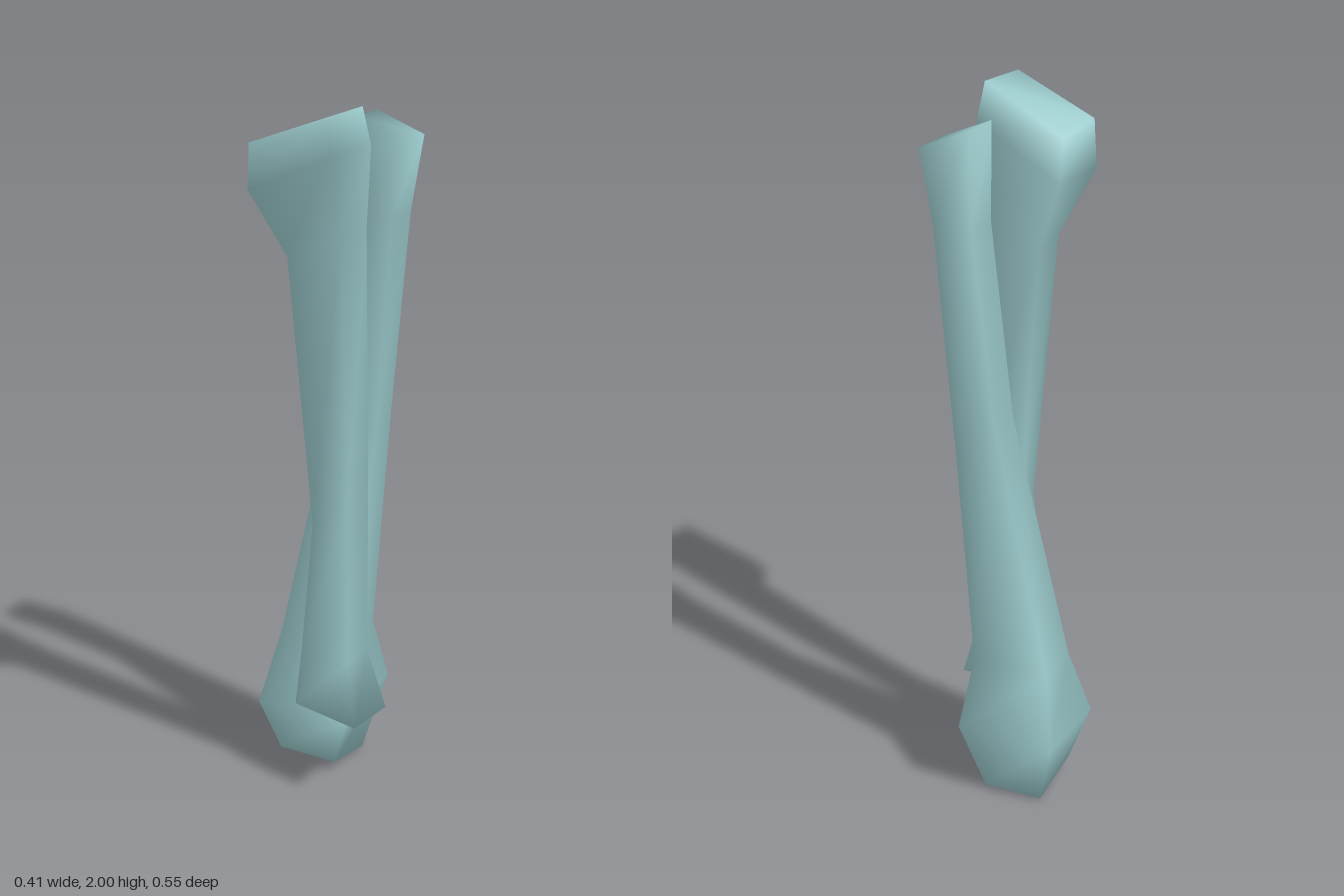
import * as THREE from 'three';

const material = new THREE.MeshStandardMaterial({ color: 0x9fcfd1 });

// Smooth four-sided loft through sections listed from top to bottom.
// Section corners: left-back, right-back, right-front, left-front as seen from the front.
function loft(name, sections) {
  const index = [];
  for (let s = 0; s < sections.length - 1; s++) {
    for (let i = 0; i < 4; i++) {
      const a = s * 4 + i, b = s * 4 + (i + 1) % 4;
      index.push(a, b, b + 4, a, b + 4, a + 4);
    }
  }
  const e = (sections.length - 1) * 4;
  index.push(3, 2, 1, 3, 1, 0); // top cap
  index.push(e, e + 1, e + 2, e, e + 2, e + 3); // bottom cap
  const geometry = new THREE.BufferGeometry();
  geometry.setAttribute('position', new THREE.Float32BufferAttribute(sections.flat(2), 3));
  geometry.setIndex(index);
  geometry.computeVertexNormals();
  const mesh = new THREE.Mesh(geometry, material);
  mesh.name = name;
  return mesh;
}

export function createModel() {
  const group = new THREE.Group();
  group.name = 'forearmBones';

  // Front bone: broad slanted head, slim shaft, small flared foot
  group.add(loft('frontBone', [
    [[-0.105, 1.9, 0], [0.16, 2, 0.09], [0.152, 1.99, 0.275], [-0.105, 1.905, 0.2]],
    [[-0.11, 1.79, -0.03], [0.17, 1.9, 0.06], [0.16, 1.9, 0.26], [-0.122, 1.78, 0.18]],
    [[-0.04, 1.6, 0], [0.15, 1.68, 0.04], [0.145, 1.68, 0.18], [-0.04, 1.6, 0.12]],
    [[0.015, 0.84, -0.003], [0.145, 0.95, 0.005], [0.145, 0.95, 0.13], [0.012, 0.84, 0.08]],
    [[-0.03, 0.45, -0.005], [0.14, 0.45, -0.008], [0.135, 0.45, 0.1], [-0.04, 0.43, 0.05]],
    [[-0.03, 0.257, -0.03], [0.185, 0.255, -0.042], [0.17, 0.265, 0.13], [-0.048, 0.265, 0.075]],
  ]));

  // Back bone: small head, bent shaft, bulbous foot
  group.add(loft('backBone', [
    [[0.07, 1.945, -0.185], [0.205, 1.89, -0.19], [0.2, 1.89, -0.07], [0.065, 1.945, -0.063]],
    [[0.06, 1.69, -0.195], [0.165, 1.68, -0.2], [0.16, 1.68, -0.09], [0.055, 1.69, -0.092]],
    [[-0.01, 1.15, -0.21], [0.11, 1.08, -0.208], [0.11, 1.08, -0.115], [-0.018, 1.16, -0.117]],
    [[-0.165, 0.43, -0.215], [0.06, 0.43, -0.213], [0.055, 0.42, -0.065], [-0.165, 0.42, -0.062]],
    [[-0.207, 0.23, -0.277], [0.082, 0.23, -0.275], [0.08, 0.2, 0.003], [-0.208, 0.2, 0.007]],
    [[-0.145, 0.005, -0.21], [0.03, 0, -0.21], [0.025, 0.035, -0.03], [-0.155, 0.04, -0.03]],
  ]));

  return group;
}
